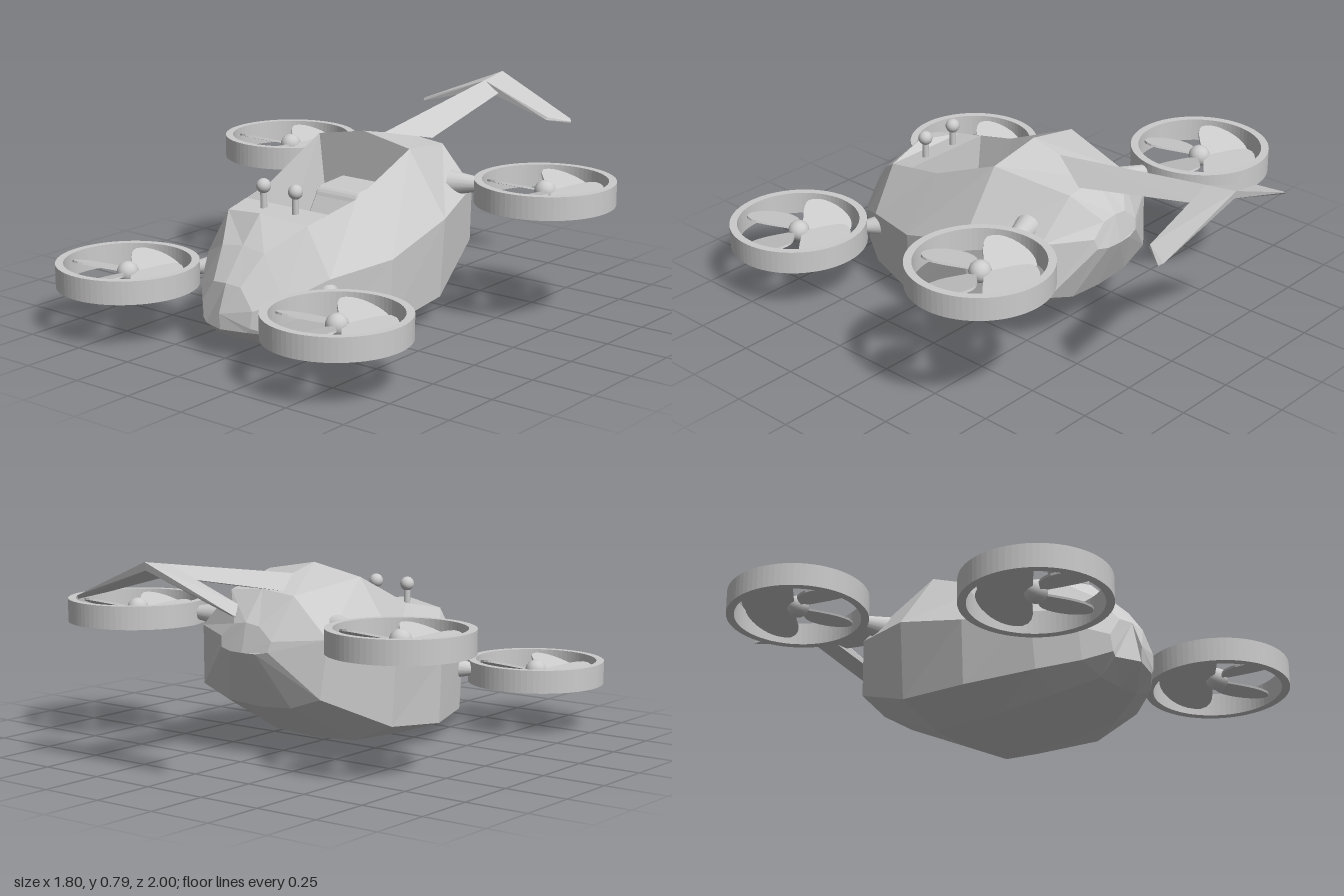
import * as THREE from 'three';
import { ConvexGeometry } from 'three/addons/geometries/ConvexGeometry.js';

const flat = new THREE.MeshStandardMaterial({ color: 0xcccccc, flatShading: true, side: THREE.DoubleSide });
const smooth = new THREE.MeshStandardMaterial({ color: 0xcccccc });

function add(parent, name, geometry, material = flat) {
  const mesh = new THREE.Mesh(geometry, material);
  mesh.name = name;
  parent.add(mesh);
  return mesh;
}

// Polygons (lists of [x, y, z] corners) fanned into a faceted geometry
function facets(polygons) {
  const out = [];
  for (const p of polygons)
    for (let i = 1; i < p.length - 1; i++) out.push(...p[0], ...p[i], ...p[i + 1]);
  const g = new THREE.BufferGeometry();
  g.setAttribute('position', new THREE.Float32BufferAttribute(out, 3));
  g.computeVertexNormals();
  return g;
}
const flip = ([x, y, z]) => [-x, y, z];
const hull = pts => new ConvexGeometry(pts.map(p => new THREE.Vector3(...p)));

// Left half of each hull section: keel, bottom, chine, flank, rim, top centre
const sections = [
  [[0, .12, .775], [.1, .117, .74], [.112, .135, .74], [.12, .2, .735], [.065, .28, .735], [0, .285, .74]],
  [[0, .055, .67], [.1, .06, .67], [.19, .1, .66], [.2, .23, .655], [.1, .39, .645], [0, .405, .645]],
  [[0, .01, .52], [.17, .02, .51], [.28, .08, .52], [.295, .3, .51], [.19, .48, .51], [0, .505, .55]],
  [[0, .003, .25], [.19, .015, .25], [.37, .075, .25], [.38, .33, .25], [.21, .53, .25], [0, .54, .25]],
  [[0, .025, -.06], [.19, .035, -.06], [.37, .11, -.06], [.39, .42, -.06], [.22, .665, -.06], [0, .705, -.06]],
  [[0, .195, -.39], [.15, .205, -.39], [.28, .25, -.38], [.3, .47, -.36], [.15, .62, -.37], [0, .635, -.37]],
  [[0, .41, -.49], [.06, .41, -.485], [.11, .42, -.475], [.12, .46, -.465], [.06, .51, -.46], [0, .52, -.465]],
];

function hullGeometry() {
  const polys = [];
  const both = p => polys.push(p, p.map(flip).reverse());
  for (let i = 0; i < sections.length - 1; i++)
    for (let j = 0; j < 5; j++) {
      if (j === 4 && (i === 2 || i === 3)) continue; // cockpit opening
      const a = sections[i], b = sections[i + 1];
      both([a[j], b[j], b[j + 1], a[j + 1]]);
    }
  both([[0, .18, .78], ...sections[0]]);
  both([...sections[6]].reverse());
  return facets(polys);
}

// Well with sloping walls, floor and the ledge behind the nose
function cockpitGeometry() {
  const A = sections[2][4], nose = sections[2][5], C = sections[3][4], D = sections[4][4];
  const B = [.198, .501, .4];
  const [f1, f2, f3] = [.4, .25, -.06].map(z => [.17, .25, z]);
  const walls = [[B, C, f2, f1], [C, D, f3, f2]];
  return facets([
    ...walls, ...walls.map(w => w.map(flip).reverse()),
    [f1, f3, flip(f3), flip(f1)],
    [B, f1, flip(f1), flip(B)],
    [D, sections[4][5], flip(D), flip(f3), f3],
    [A, B, flip(B), flip(A), nose],
  ]);
}

// Side profile of the seat, swept across its width
function seatGeometry() {
  const s = new THREE.Shape();
  s.moveTo(-.05, .25);
  s.lineTo(.33, .25);
  s.lineTo(.34, .3);
  s.lineTo(.325, .325);
  s.lineTo(.2, .335);
  s.lineTo(.115, .47);
  s.quadraticCurveTo(.105, .5, .08, .505);
  s.lineTo(-.05, .515);
  const g = new THREE.ExtrudeGeometry(s, {
    depth: .19, curveSegments: 4, bevelSize: .008, bevelThickness: .008, bevelOffset: -.008, bevelSegments: 1 });
  g.translate(0, 0, -.095);
  g.rotateY(-Math.PI / 2);
  return g;
}

// Broad petal blade along +x, pitched about its length
function bladeGeometry() {
  const s = new THREE.Shape();
  s.moveTo(.03, -.012);
  s.bezierCurveTo(.07, -.06, .1, -.125, .165, -.115);
  s.bezierCurveTo(.215, -.095, .235, -.05, .235, 0);
  s.bezierCurveTo(.235, .06, .205, .115, .155, .115);
  s.bezierCurveTo(.115, .11, .07, .05, .03, .012);
  const g = new THREE.ExtrudeGeometry(s, { depth: .008, bevelEnabled: false, curveSegments: 6 });
  g.translate(0, 0, -.004);
  g.rotateX(-Math.PI / 2 + .3);
  return g;
}

function rotor(name, x, y, z) {
  const g = new THREE.Group();
  g.name = name;
  g.position.set(x, y, z);
  const ring = new THREE.Shape().absarc(0, 0, .27, 0, Math.PI * 2);
  ring.holes.push(new THREE.Path().absarc(0, 0, .24, 0, Math.PI * 2, true));
  const duct = new THREE.ExtrudeGeometry(ring, { depth: .09, bevelEnabled: false, curveSegments: 36 });
  duct.translate(0, 0, -.045);
  duct.rotateX(-Math.PI / 2);
  add(g, 'rotorDuct', duct);
  add(g, 'rotorHub', new THREE.SphereGeometry(.042, 16, 12), smooth);
  const blade = bladeGeometry();
  for (let k = 0; k < 4; k++) add(g, 'rotorBlade', blade).rotation.y = k * Math.PI / 2;
  return g;
}

// Tapered arm from hull to duct
function strut(parent, name, from, to) {
  const a = new THREE.Vector3(...from), b = new THREE.Vector3(...to);
  const m = add(parent, name, new THREE.CylinderGeometry(.024, .05, a.distanceTo(b), 16), smooth);
  m.position.copy(a).lerp(b, .5);
  m.quaternion.setFromUnitVectors(new THREE.Vector3(0, 1, 0), b.sub(a).normalize());
}

export function createModel() {
  const model = new THREE.Group();
  model.name = 'rotorcraft';
  add(model, 'hull', hullGeometry());
  add(model, 'cockpitWell', cockpitGeometry());
  add(model, 'seat', seatGeometry());

  // Tail boom with a ridge along the top
  add(model, 'tailBoom', hull([
    [0, .675, -.19], [0, .795, -1], [0, .73, -.87],
    ...[-1, 1].flatMap(s => [[s * .1, .635, -.37], [s * .07, .73, -.87], [s * .03, .775, -.995]]),
  ]));

  for (const s of [1, -1]) {
    const side = s > 0 ? 'left' : 'right';
    // Drooping tail fin
    add(model, side + 'TailFin', hull([
      [0, .795, -1], [0, .765, -.995], [0, .775, -.87], [0, .735, -.87],
      [s * .36, .645, -.97], [s * .372, .636, -.955], [s * .37, .63, -.955],
      [s * .31, .662, -.87], [s * .31, .65, -.865],
    ]));
    // Control lever
    const lever = new THREE.Group();
    lever.name = side + 'Lever';
    lever.position.set(s * .077, .48, .44);
    add(lever, 'leverStem', new THREE.CylinderGeometry(.013, .013, .1, 12), smooth).position.y = .045;
    add(lever, 'leverKnob', new THREE.SphereGeometry(.028, 16, 12), smooth).position.y = .095;
    model.add(lever);
    // Rotors and their arms
    model.add(rotor(side + 'FrontRotor', s * .505, .23, .73));
    model.add(rotor(side + 'RearRotor', s * .632, .505, -.37));
    strut(model, side + 'FrontStrut', [s * .245, .25, .47], [s * .325, .24, .55]);
    strut(model, side + 'RearStrut', [s * .265, .5, -.265], [s * .395, .505, -.305]);
  }
  return model;
}
